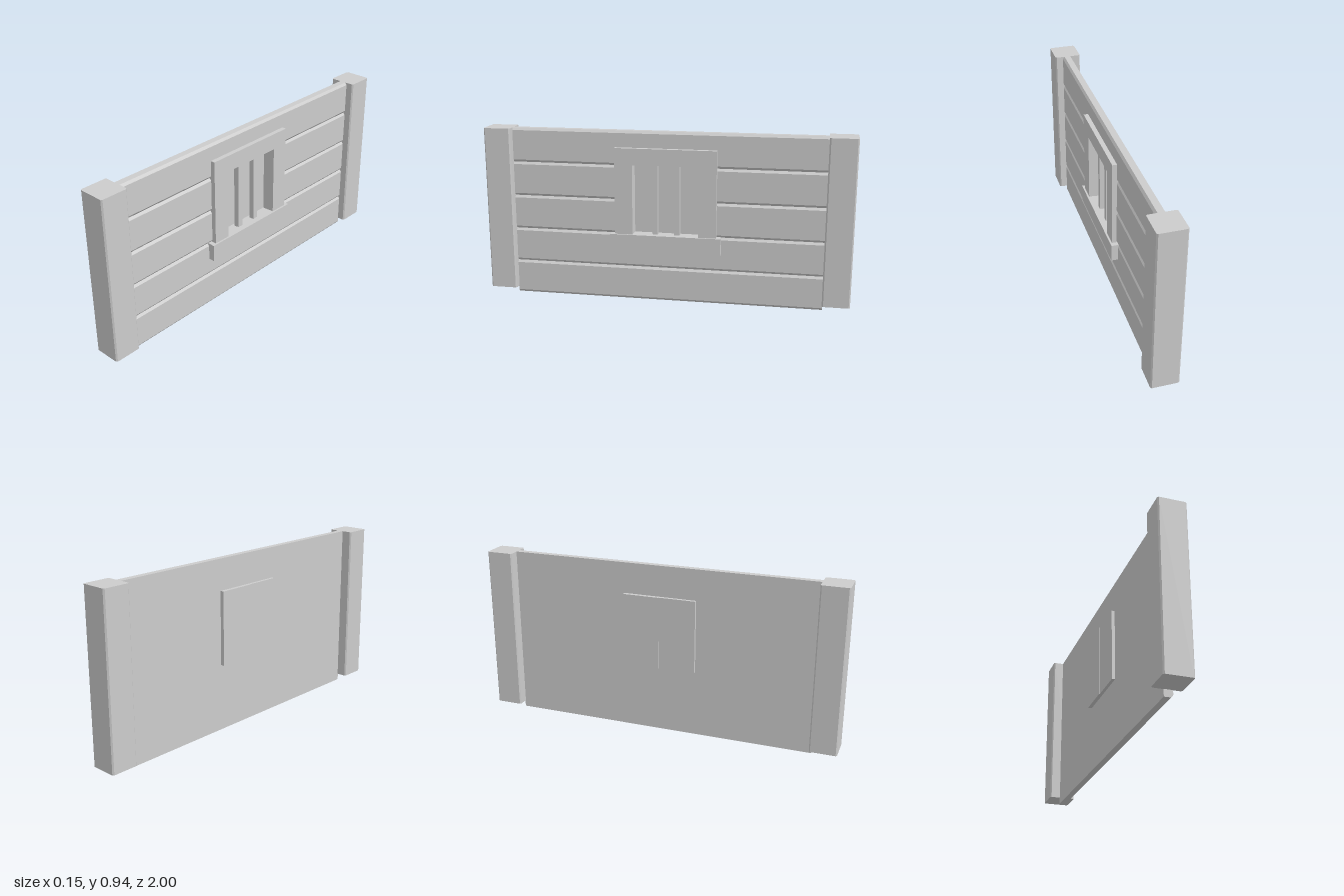
import * as THREE from 'three';

export function createModel() {
  const model = new THREE.Group();
  const grey = new THREE.MeshStandardMaterial({ color: 0xcccccc });
  grey.name = 'plainGrey';

  const add = (name, geometry) => {
    const mesh = new THREE.Mesh(geometry, grey);
    mesh.name = name;
    model.add(mesh);
    return mesh;
  };
  // Box given by its limits on each axis
  const box = (name, [x0, x1], [y0, y1], [z0, z1]) => add(name,
    new THREE.BoxGeometry(x1 - x0, y1 - y0, z1 - z0)
      .translate((x0 + x1) / 2, (y0 + y1) / 2, (z0 + z1) / 2));
  const extrude = (points, depth) => new THREE.ExtrudeGeometry(
    new THREE.Shape(points.map(([x, y]) => new THREE.Vector2(x, y))),
    { depth, bevelEnabled: false });

  // Corner posts with chamfered upright edges
  const h = 0.074, c = 0.007, bottom = 0.037, top = 0.945;
  const section = [[h - c, -h], [h, c - h], [h, h - c], [h - c, h],
    [c - h, h], [-h, h - c], [-h, c - h], [c - h, -h]];
  for (const side of [1, -1]) {
    const post = extrude(section, top - bottom);
    post.rotateX(-Math.PI / 2).translate(0, bottom, side * (1 - h));
    add(side > 0 ? 'frontPost' : 'rearPost', post);
  }

  // Wall boards: flat inside, chamfered along both outer edges
  const back = -0.015, face = 0.03, bevel = 0.013, inset = 0.01;
  const board = (y0, y1, z0, z1, lowerBevel = bevel) => {
    const points = [[back, y0], [face - (lowerBevel ? inset : 0), y0]];
    if (lowerBevel) points.push([face, y0 + lowerBevel]);
    points.push([face, y1 - bevel], [face - inset, y1], [back, y1]);
    add('wallBoard', extrude(points, z1 - z0).translate(0, 0, z0));
  };
  const pitch = top / 5, end = 0.855, open = 0.18, lintel = 0.765;
  for (let i = 0; i < 5; i++) {
    const y0 = i * pitch, y1 = y0 + pitch;
    if (i < 2) {
      board(y0, y1, -end, end);
    } else {
      // Boards beside the window opening
      board(y0, y1, -end, -open);
      board(y0, y1, open, end);
      if (i === 4) board(lintel, y1, -open, open, 0);
    }
  }

  // Window frame and sill
  const sillTop = 0.38, frameX = [0.02, 0.055];
  box('frameTop', frameX, [lintel, 0.855], [-0.277, 0.277]);
  for (const [z0, z1] of [[-0.277, -open], [open, 0.277]]) {
    box('frameJamb', frameX, [sillTop, lintel], [z0, z1]);
  }
  box('windowSill', [0.02, 0.065], [0.285, sillTop], [-0.303, 0.303]);

  // Upright window bars
  for (const z of [0.06, -0.06]) {
    box('windowBar', [0, 0.03], [sillTop - 0.005, lintel], [z - 0.015, z + 0.015]);
  }

  // Pair of shutters on the inside
  box('rearShutter', [-0.036, back], [0.37, 0.775], [-0.203, 0]);
  box('frontShutter', [-0.032, back], [0.37, 0.775], [0, 0.203]);

  return model;
}
